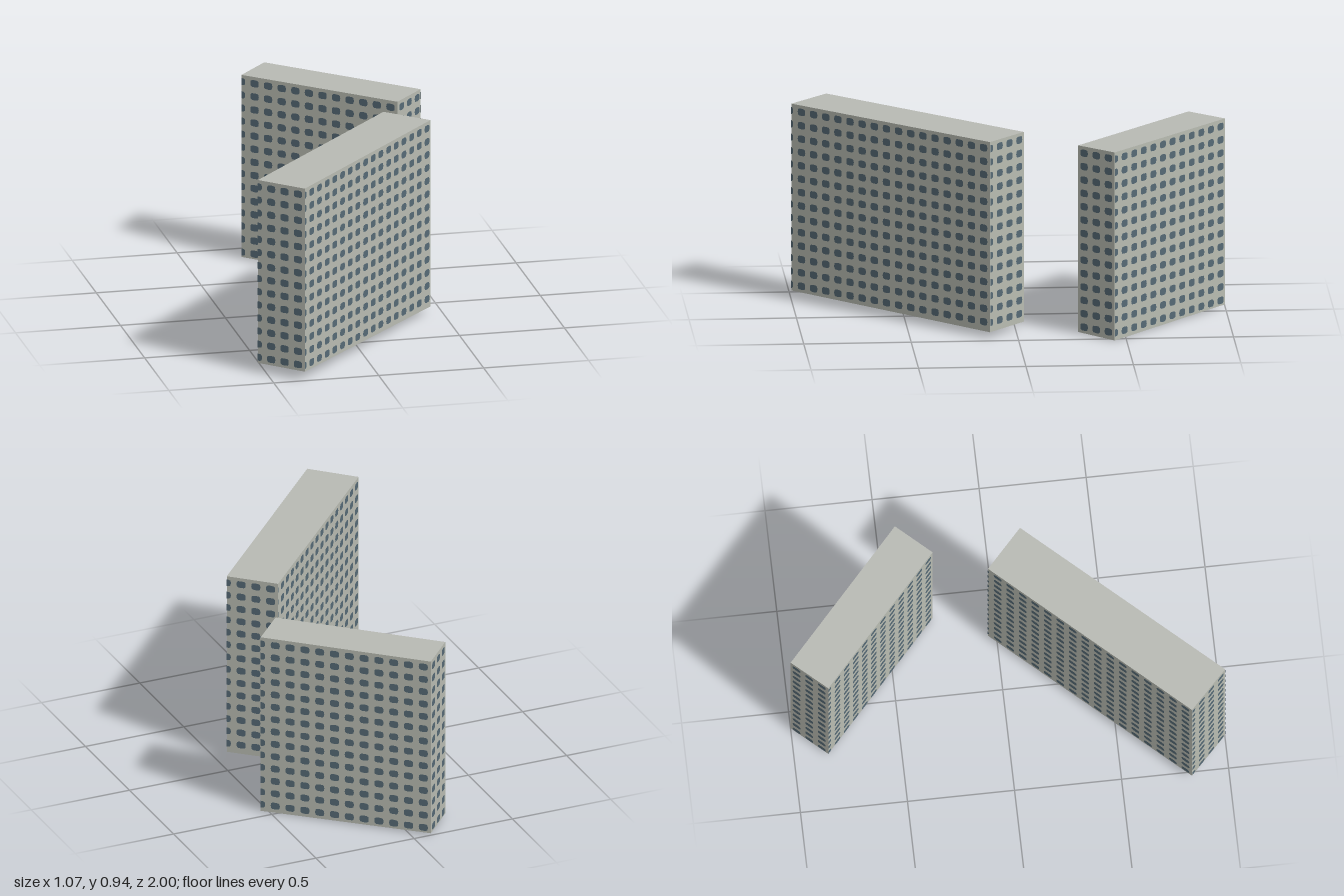
import * as THREE from 'three';
import { mergeGeometries } from 'three/addons/utils/BufferGeometryUtils.js';

const material = (name, color) => {
  const m = new THREE.MeshStandardMaterial({ color, side: THREE.DoubleSide });
  m.name = name;
  return m;
};

const PITCH_X = 0.0722, PITCH_Y = 0.064; // window spacing
const HALF_W = 0.0225, HALF_H = 0.0175;  // half size of a window
const ROWS = 14, GAP = 0.002;

// One rounded window, cut off where the wall ends (x < 0)
function windowPane(x, y, z) {
  const pane = new THREE.CircleGeometry(1, 12);
  const p = pane.attributes.position;
  const soften = (v) => Math.sign(v) * Math.pow(Math.abs(v), 0.6);
  for (let i = 0; i < p.count; i++) {
    p.setXYZ(i, Math.max(0, x + HALF_W * soften(p.getX(i))), y + HALF_H * soften(p.getY(i)), z);
  }
  return pane;
}

// Wall between two corners [x, z, bottom]; windows are counted from corner a
function buildWall(a, b, top, mats) {
  const wall = new THREE.Group();
  wall.name = 'wall';
  const dx = a[0] - b[0], dz = a[1] - b[1], length = Math.hypot(dx, dz);

  const outline = new THREE.Shape([
    new THREE.Vector2(0, b[2]), new THREE.Vector2(length, a[2]),
    new THREE.Vector2(length, top), new THREE.Vector2(0, top),
  ]);
  const panel = new THREE.Mesh(new THREE.ShapeGeometry(outline), mats.wall);
  panel.name = 'wallPanel';

  // Window grid, visible on both faces of the open shell
  const panes = [];
  for (let s = PITCH_X / 2; s - HALF_W < length - 0.003; s += PITCH_X) {
    for (let r = 0; r < ROWS; r++) {
      const y = top - (r + 0.5) * PITCH_Y;
      for (const side of [-1, 1]) panes.push(windowPane(length - s, y, side * GAP));
    }
  }
  const windows = new THREE.Mesh(mergeGeometries(panes), mats.window);
  windows.name = 'windows';

  wall.add(panel, windows);
  wall.position.set(b[0], 0, b[1]);
  wall.rotation.y = Math.atan2(-dz, dx);
  return wall;
}

// Slab block: four walls and a flat roof, open underneath
function buildBlock(name, corners, top, mats) {
  const block = new THREE.Group();
  block.name = name;
  corners.forEach((c, i) => block.add(buildWall(c, corners[(i + 1) % 4], top, mats)));

  const plan = new THREE.Shape(corners.map(([x, z]) => new THREE.Vector2(x, -z)));
  const roof = new THREE.Mesh(new THREE.ShapeGeometry(plan).rotateX(-Math.PI / 2), mats.roof);
  roof.name = 'roof';
  roof.position.y = top;
  block.add(roof);
  return block;
}

export function createModel() {
  const model = new THREE.Group();
  model.name = 'slabBlocks';
  const mats = {
    wall: material('wall grey', 0xb9bcb2),
    roof: material('roof grey', 0xb8bab4),
    window: material('window blue grey', 0x566a76),
  };
  // Corners run clockwise from above: x, z, height of the sloping foot
  model.add(
    buildBlock('frontBlock', [
      [0.262, -0.04, 0.03], [0.447, 0.13, 0.028], [-0.352, 1, 0.044], [-0.535, 0.825, 0.045],
    ], 0.938, mats),
    buildBlock('backBlock', [
      [-0.085, -1, 0.01], [0.532, -0.445, 0], [0.385, -0.285, 0.007], [-0.23, -0.84, 0.011],
    ], 0.9, mats),
  );
  return model;
}
